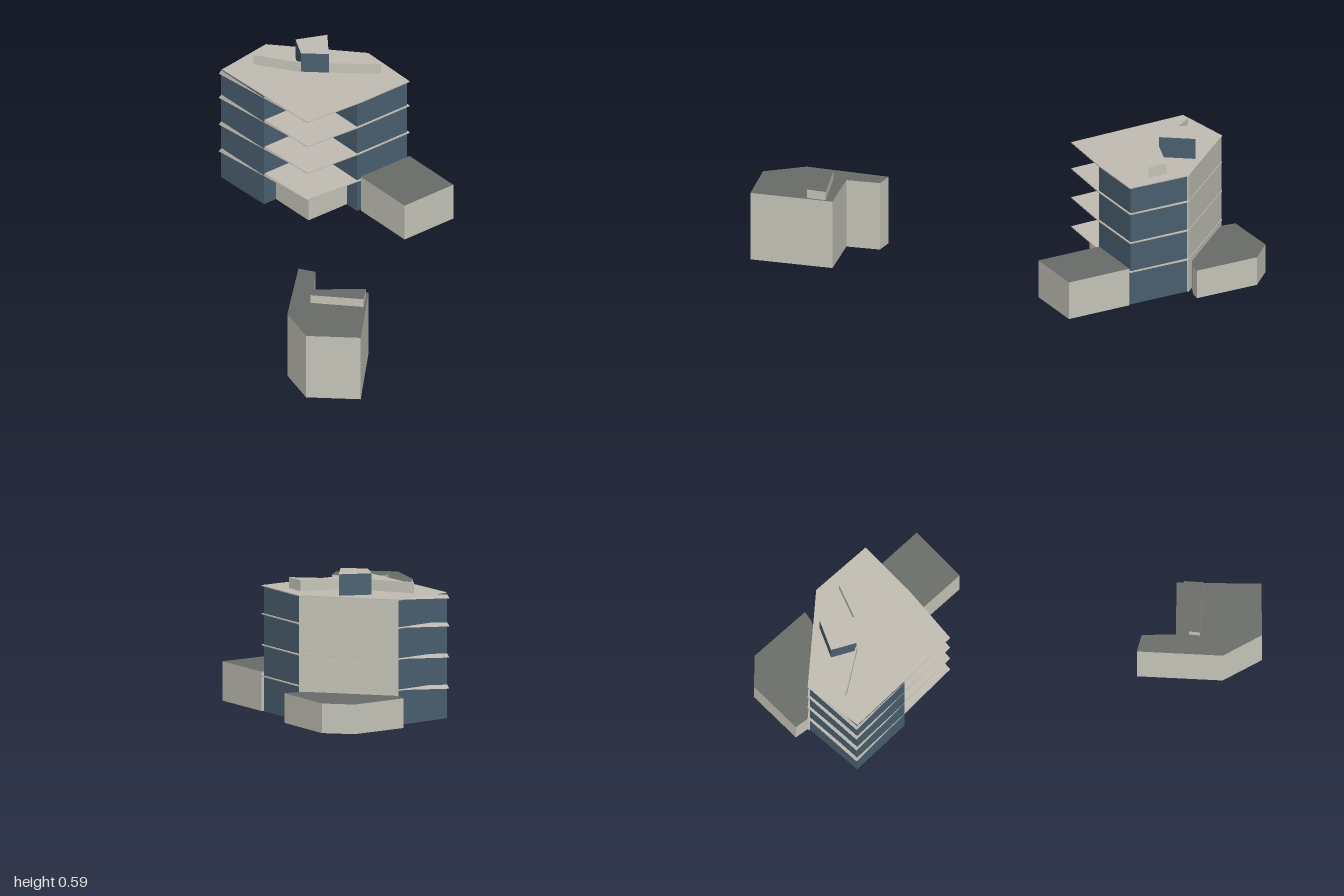
import * as THREE from 'three';

const mat = (name, color) => {
  const m = new THREE.MeshStandardMaterial({ color, flatShading: true });
  m.name = name;
  return m;
};

export function createModel() {
  const wall = mat('concreteWall', 0xc6c5b9);
  const slab = mat('paleSlab', 0xc2bdb3);
  const slabSheet = mat('paleEave', 0xc2bdb3);
  slabSheet.side = THREE.DoubleSide;
  const roof = mat('darkRoof', 0x6a6c68);
  const glass = mat('blueGlass', 0x4a6070);

  const model = new THREE.Group();
  model.name = 'buildings';

  // upright prism over a plan of [x, z] corners, from y0 to y1
  function prism(name, plan, y0, y1, cap, side, parent = model) {
    const shape = new THREE.Shape(plan.map(([x, z]) => new THREE.Vector2(x, -z)));
    const geo = new THREE.ExtrudeGeometry(shape, { depth: y1 - y0, bevelEnabled: false });
    geo.rotateX(-Math.PI / 2).translate(0, y0, 0);
    const mesh = new THREE.Mesh(geo, [cap, side]);
    mesh.name = name;
    parent.add(mesh);
    return mesh;
  }

  // tower: glass body with a notch in its front
  const tower = new THREE.Group();
  tower.name = 'tower';
  model.add(tower);
  prism('glassBody', [[-0.47, -0.57], [-0.275, -0.395], [-0.1, -0.58], [0.095, -0.395],
    [0.27, -0.58], [0.085, -0.755], [-0.315, -0.765]], 0, 0.503, glass, glass, tower);
  prism('backWall', [[-0.315, -0.765], [0.085, -0.755], [0.086, -0.762], [-0.318, -0.772]],
    0, 0.503, wall, wall, tower);

  // floor slabs fill the notch and carry drooping eaves on the outer sides
  const plan = [[-0.465, -0.568], [-0.08, -0.225], [0.11, -0.4], [0.28, -0.58],
    [0.09, -0.765], [-0.32, -0.775]];
  [0.143, 0.268, 0.393, 0.506].forEach((y, i) => {
    prism(i === 3 ? 'towerRoof' : 'floorSlab', plan, y - 0.004, y, slab, slab, tower);
    const eave = new THREE.BufferGeometry();
    eave.setAttribute('position', new THREE.Float32BufferAttribute([
      -0.465, y, -0.568, -0.48, y - 0.024, -0.572, -0.08, y, -0.225,
      -0.465, y, -0.568, -0.32, y, -0.775, -0.48, y - 0.024, -0.572,
    ], 3));
    eave.computeVertexNormals();
    const mesh = new THREE.Mesh(eave, slabSheet);
    mesh.name = 'eave';
    tower.add(mesh);
  });

  // rooftop housing and parapets
  prism('roofHousing', [[-0.19, -0.69], [-0.155, -0.592], [-0.045, -0.6], [-0.07, -0.742]],
    0.5, 0.592, slab, glass, tower);
  prism('parapetWall', [[-0.348, -0.62], [-0.155, -0.588], [-0.155, -0.595], [-0.346, -0.626]],
    0.5, 0.55, slab, wall, tower);
  prism('parapetWedge', [[-0.045, -0.6], [0.16, -0.62], [0.1, -0.675]],
    0.5, 0.55, slab, wall, tower);

  // low annexes around the tower
  prism('notchAnnex', [[-0.235, -0.44], [-0.085, -0.3], [0.05, -0.44], [-0.1, -0.578]],
    0, 0.119, roof, wall);
  prism('sideAnnex', [[0.11, -0.4], [0.31, -0.21], [0.48, -0.39], [0.28, -0.578]],
    0, 0.158, roof, wall);
  prism('backAnnex', [[-0.31, -0.772], [0.05, -0.765], [0.1, -0.785], [0.135, -0.812],
    [-0.06, -1], [-0.19, -0.995], [-0.35, -0.82]], 0, 0.119, roof, wall);

  // separate small building with a narrow rear arm
  prism('smallBuilding', [[-0.015, 0.51], [-0.013, 0.85], [0.082, 1], [0.298, 0.985],
    [0.283, 0.65], [0.066, 0.66], [0.055, 0.525]], 0, 0.287, roof, wall);
  prism('smallBuildingParapet', [[0.066, 0.755], [0.278, 0.757], [0.278, 0.68], [0.068, 0.712]],
    0.28, 0.323, roof, wall);

  return model;
}
